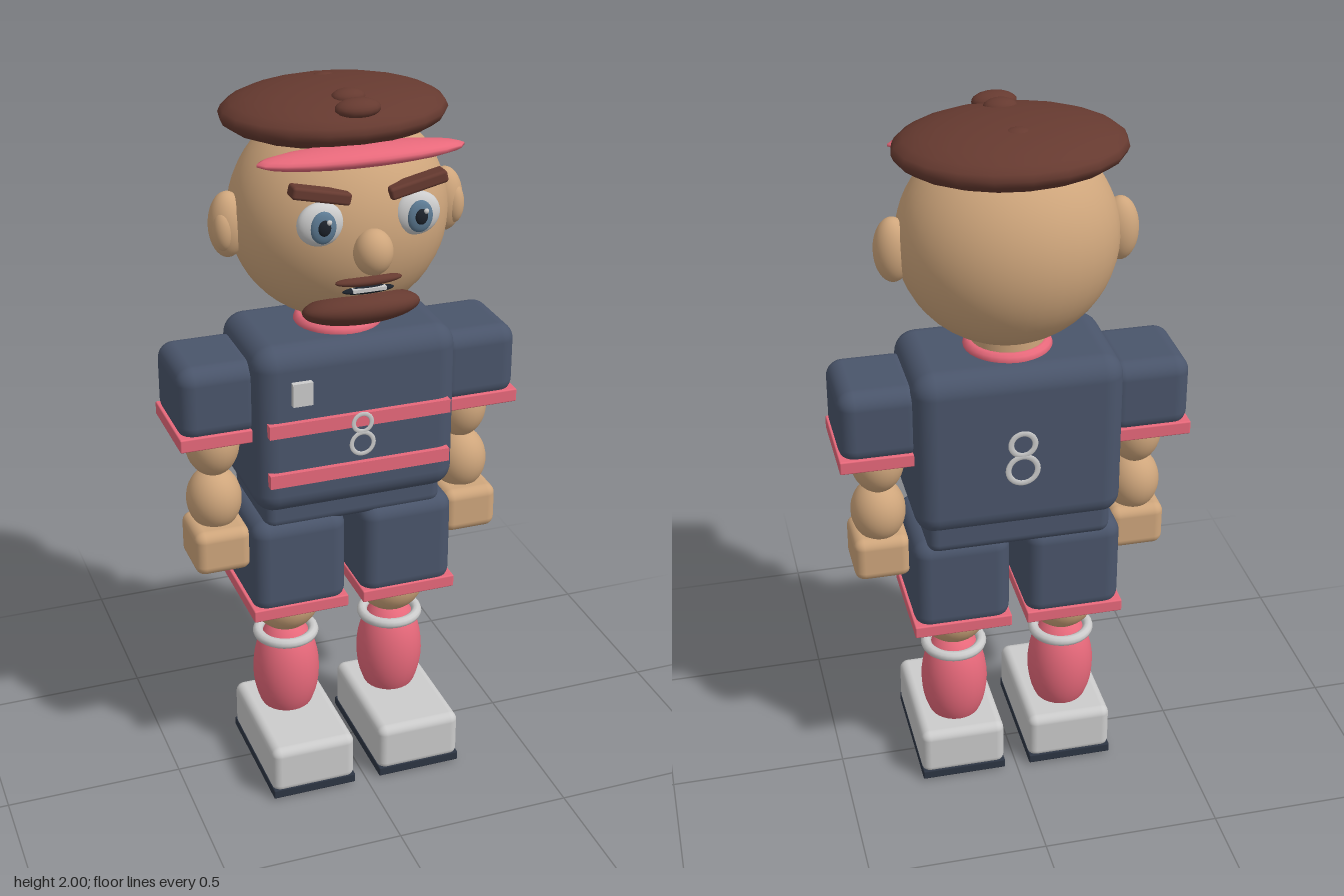
import * as THREE from 'three';
import { RoundedBoxGeometry } from 'three/addons/geometries/RoundedBoxGeometry.js';

const mat = (color) => new THREE.MeshStandardMaterial({ color });
const navy = mat(0x4a556b), pink = mat(0xe8697b), skin = mat(0xcfa67c), brown = mat(0x663a30);
const grey = mat(0xcccccc), dark = mat(0x2d3543), blue = mat(0x5d7b94), black = mat(0x1c222b);

export function createModel() {
  const model = new THREE.Group();
  model.name = 'figure';

  const add = (name, geometry, material, pos, parent = model) => {
    const mesh = new THREE.Mesh(geometry, material);
    mesh.name = name;
    mesh.position.set(...pos);
    parent.add(mesh);
    return mesh;
  };
  const ball = (name, material, pos, radii, parent, seg = 28) => {
    const mesh = add(name, new THREE.SphereGeometry(1, seg, Math.round(seg * 0.7)), material, pos, parent);
    mesh.scale.set(...radii);
    return mesh;
  };
  // Box given by its lower and upper corners; r rounds the edges
  const box = (name, material, lo, hi, r = 0, parent) => {
    const s = lo.map((v, i) => hi[i] - v);
    const c = lo.map((v, i) => (hi[i] + v) / 2);
    const g = r ? new RoundedBoxGeometry(...s, 4, r) : new THREE.BoxGeometry(...s);
    return add(name, g, material, c, parent);
  };
  const group = (name) => {
    const g = new THREE.Group();
    g.name = name;
    model.add(g);
    return g;
  };

  // Head and face
  const head = group('head');
  ball('skull', skin, [0, 1.66, -0.02], [0.292, 0.287, 0.26], head, 40);
  ball('nose', skin, [0, 1.633, 0.246], [0.051, 0.06, 0.05], head);
  ball('moustache', brown, [0, 1.547, 0.215], [0.09, 0.014, 0.022], head);
  ball('mouth', black, [0, 1.52, 0.212], [0.07, 0.01, 0.016], head);
  box('teeth', grey, [-0.045, 1.519, 0.21], [0.045, 1.528, 0.228], 0, head);
  ball('beard', brown, [0, 1.453, 0.162], [0.16, 0.045, 0.077], head).rotation.x = -0.25;

  for (const s of [-1, 1]) {
    const side = s > 0 ? 'left' : 'right';
    ball(side + 'Ear', skin, [s * 0.3, 1.652, -0.02], [0.05, 0.088, 0.05], head);
    ball(side + 'InnerEar', skin, [s * 0.318, 1.645, 0.003], [0.028, 0.055, 0.03], head);
    ball(side + 'Eye', grey, [s * 0.128, 1.71, 0.213], [0.062, 0.057, 0.03], head);
    ball(side + 'Iris', blue, [s * 0.128, 1.708, 0.236], [0.034, 0.042, 0.013], head);
    ball(side + 'Pupil', black, [s * 0.128, 1.71, 0.246], [0.017, 0.021, 0.008], head);
    ball(side + 'EyeGlint', grey, [s * 0.128 + 0.011, 1.725, 0.251], [0.007, 0.007, 0.005], head, 12);
    const brow = box(side + 'Eyebrow', brown, [s * 0.128 - 0.078, 1.77, 0.185], [s * 0.128 + 0.078, 1.802, 0.233], 0.008, head);
    brow.rotation.z = s * 0.22;
  }

  // Flat cap with visor and small lumps on its crown
  const cap = group('cap');
  ball('capCrown', brown, [0, 1.918, -0.052], [0.302, 0.074, 0.244], cap, 20);
  ball('visor', pink, [0, 1.86, 0.163], [0.276, 0.027, 0.066], cap, 18);
  ball('frontLump', brown, [0, 1.968, 0.13], [0.06, 0.026, 0.04], cap, 16);
  ball('middleLump', brown, [0, 1.978, 0.06], [0.045, 0.022, 0.035], cap, 16);
  ball('backLump', brown, [0, 1.972, -0.13], [0.04, 0.02, 0.03], cap, 16);

  // Torso and shirt details
  const torso = group('torso');
  add('neck', new THREE.CylinderGeometry(0.1, 0.1, 0.13, 28), skin, [0, 1.375, -0.02], torso);
  const collar = add('collar', new THREE.TorusGeometry(0.1, 0.02, 10, 32), pink, [0, 1.354, -0.02], torso);
  collar.rotation.x = Math.PI / 2;
  box('shirt', navy, [-0.285, 0.87, -0.195], [0.285, 1.352, 0.155], 0.06, torso);
  box('waist', navy, [-0.255, 0.81, -0.18], [0.255, 0.92, 0.12], 0.03, torso);
  for (const y of [1.132, 0.986])
    box('stripe', pink, [-0.255, y - 0.019, 0.14], [0.255, y + 0.019, 0.17], 0, torso);
  box('badge', grey, [-0.193, 1.203, 0.165], [-0.138, 1.268, 0.181], 0, torso);

  // Two stacked flat rings make the figure eight on chest and back
  const eight = (name, y, r, z) => {
    for (const [k, dy] of [[0.82, r * 0.97], [1, -r * 0.97]]) {
      const ring = add(name, new THREE.TorusGeometry(r * k, r * 0.2, 8, 28), grey, [0, y + dy, z], torso);
      ring.scale.z = 0.3;
    }
  };
  eight('chestNumberRing', 1.098, 0.031, 0.179);
  eight('backNumberRing', 1.103, 0.04, -0.204);

  // Limbs, built for the left and mirrored by sign
  for (const s of [-1, 1]) {
    const side = s > 0 ? 'left' : 'right';
    const arm = group(side + 'Arm');
    const leg = group(side + 'Leg');
    const sideBox = (name, m, x0, x1, y0, y1, z0, z1, r, parent) =>
      box(name, m, [Math.min(s * x0, s * x1), y0, z0], [Math.max(s * x0, s * x1), y1, z1], r, parent);

    sideBox('sleeve', navy, 0.25, 0.477, 1.1, 1.307, -0.15, 0.105, 0.045, arm);
    sideBox('sleeveCuff', pink, 0.262, 0.48, 1.082, 1.12, -0.152, 0.107, 0.004, arm);
    ball('upperArm', skin, [s * 0.362, 1.045, -0.018], [0.075, 0.1, 0.085], arm);
    ball('forearm', skin, [s * 0.363, 0.875, -0.01], [0.076, 0.092, 0.08], arm);
    sideBox('hand', skin, 0.285, 0.442, 0.683, 0.813, -0.083, 0.088, 0.028, arm);

    sideBox('shorts', navy, 0.022, 0.292, 0.55, 0.835, -0.172, 0.132, 0.045, leg);
    sideBox('shortsTrim', pink, 0.022, 0.297, 0.538, 0.574, -0.175, 0.133, 0.004, leg);
    ball('knee', skin, [s * 0.16, 0.515, -0.02], [0.1, 0.1, 0.1], leg);
    const band = add('sockBand', new THREE.TorusGeometry(0.08, 0.015, 10, 32), grey, [s * 0.16, 0.4, -0.02], leg);
    band.rotation.x = Math.PI / 2;
    ball('sock', pink, [s * 0.16, 0.275, -0.02], [0.096, 0.17, 0.096], leg);
    sideBox('shoe', grey, 0.037, 0.282, 0.02, 0.165, -0.15, 0.236, 0.025, leg);
    sideBox('sole', dark, 0.037, 0.282, 0.006, 0.034, -0.152, 0.236, 0.004, leg);
    sideBox('tread', grey, 0.06, 0.26, 0, 0.012, -0.125, 0.21, 0, leg);
  }
  return model;
}
